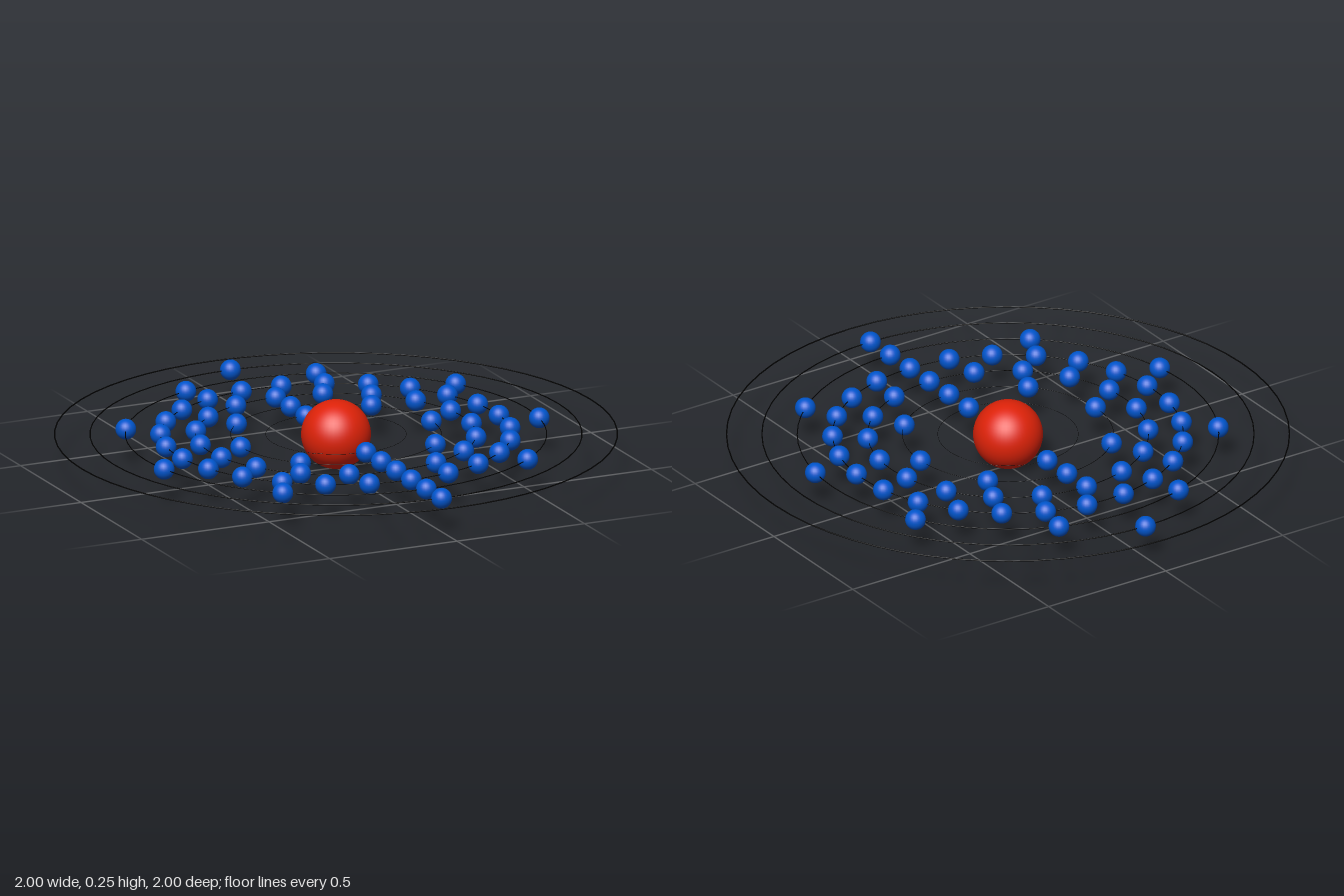
import * as THREE from 'three';

const NUCLEUS_RADIUS = 0.124;
const ELECTRON_RADIUS = 0.037;

// Orbits from the inside out: radius and number of electrons
const SHELLS = [
  [0.249, 2], [0.374, 8], [0.498, 18], [0.622, 25], [0.747, 9], [0.872, 2], [0.9975, 0],
];

export function createModel() {
  const model = new THREE.Group();
  model.name = 'atom';

  const red = new THREE.MeshStandardMaterial({ color: 0xdd2208 });
  const blue = new THREE.MeshStandardMaterial({ color: 0x0055cc });
  const black = new THREE.MeshStandardMaterial({ color: 0x000000 });

  const add = (parent, name, geometry, material) => {
    const mesh = new THREE.Mesh(geometry, material);
    mesh.name = name;
    parent.add(mesh);
    return mesh;
  };

  // Nucleus
  add(model, 'nucleus', new THREE.SphereGeometry(NUCLEUS_RADIUS, 48, 32), red);

  // Shells: a fine orbit ring with evenly spaced electrons, the first at the front
  const electronGeometry = new THREE.SphereGeometry(ELECTRON_RADIUS, 24, 16);
  SHELLS.forEach(([radius, count], s) => {
    const shell = new THREE.Group();
    shell.name = `shell${s + 1}`;
    model.add(shell);

    const ring = new THREE.TorusGeometry(radius, 0.0025 * radius, 8, 64).rotateX(Math.PI / 2);
    add(shell, 'orbitRing', ring, black);

    for (let i = 0; i < count; i++) {
      const angle = (i / count) * Math.PI * 2;
      const electron = add(shell, 'electron', electronGeometry, blue);
      electron.position.set(Math.sin(angle) * radius, 0, Math.cos(angle) * radius);
    }
  });

  // Stand the nucleus on the floor
  model.children.forEach((part) => { part.position.y = NUCLEUS_RADIUS; });
  return model;
}
